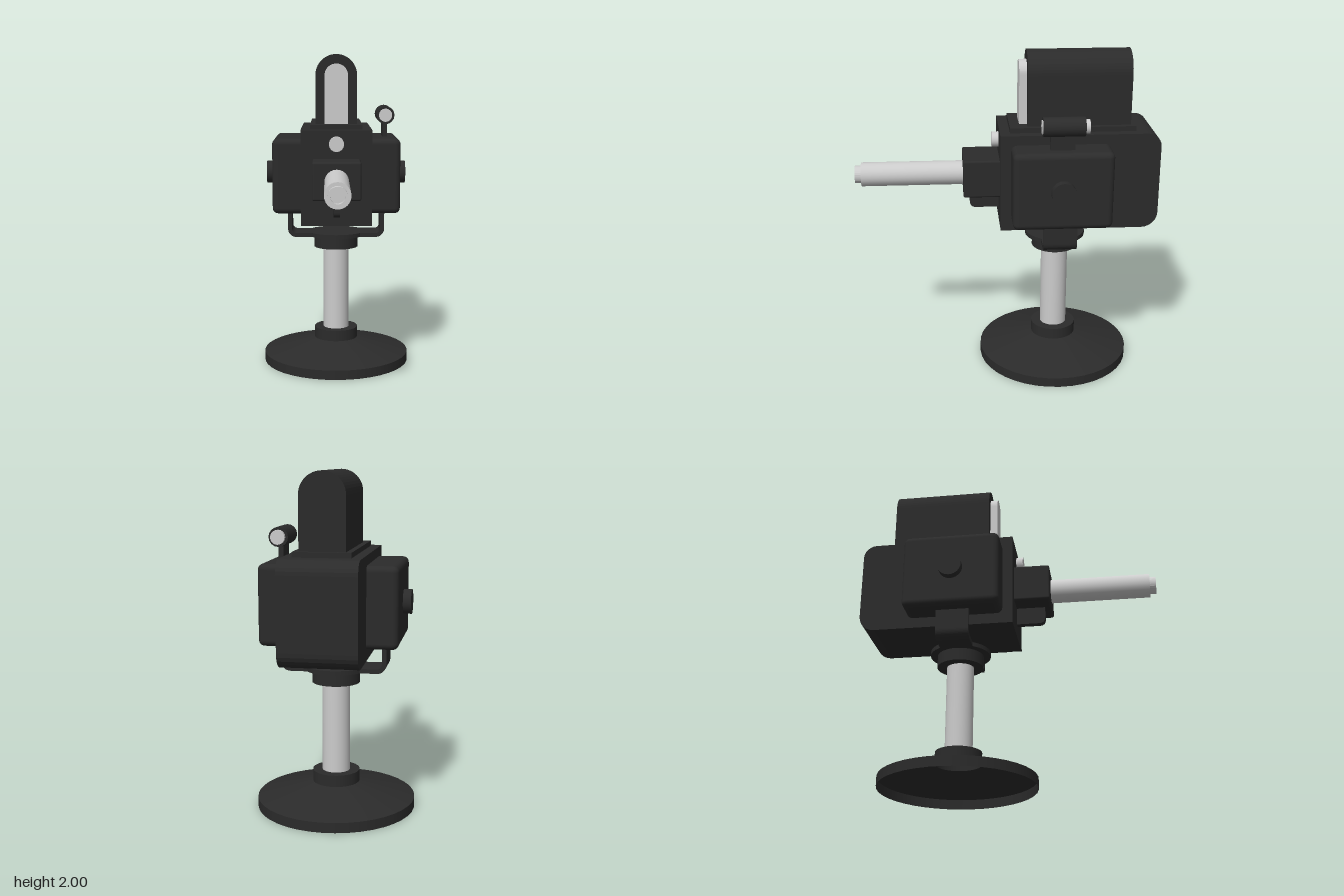
import * as THREE from 'three';
import { RoundedBoxGeometry } from 'three/addons/geometries/RoundedBoxGeometry.js';

const dark = new THREE.MeshStandardMaterial({ color: 0x2b2b2b });
dark.name = 'charcoal';
dark.side = THREE.DoubleSide;
const light = new THREE.MeshStandardMaterial({ color: 0xcccccc });
light.name = 'lightGrey';
light.side = THREE.DoubleSide;

const AXIS_Z = -0.312; // depth of the stand's centre line
const BARREL_Y = 1.25;

export function createModel() {
  const model = new THREE.Group();
  model.name = 'pedestalDevice';

  const add = (name, geometry, material, x = 0, y = 0, z = 0) => {
    const mesh = new THREE.Mesh(geometry, material);
    mesh.name = name;
    mesh.position.set(x, y, z);
    model.add(mesh);
    return mesh;
  };
  // box given by its limits on each axis
  const box = (name, material, [x0, x1], [y0, y1], [z0, z1], radius = 0) => {
    const size = [x1 - x0, y1 - y0, z1 - z0];
    const geometry = radius
      ? new RoundedBoxGeometry(...size, 3, radius)
      : new THREE.BoxGeometry(...size);
    return add(name, geometry, material, (x0 + x1) / 2, (y0 + y1) / 2, (z0 + z1) / 2);
  };
  // cylinders standing upright, and lying along z
  const post = (name, material, r, y0, y1) =>
    add(name, new THREE.CylinderGeometry(r, r, y1 - y0, 32), material, 0, (y0 + y1) / 2, AXIS_Z);
  const rod = (name, material, r, z0, z1, x, y, sides = 24) =>
    add(name, new THREE.CylinderGeometry(r, r, z1 - z0, sides).rotateX(Math.PI / 2),
      material, x, y, (z0 + z1) / 2);
  // outline in x/y extruded from z0 to z1
  const extrude = (shape, z0, z1, curveSegments = 12) =>
    new THREE.ExtrudeGeometry(shape, { depth: z1 - z0, bevelEnabled: false, curveSegments })
      .translate(0, 0, z0);
  // profile in z/y extruded across x
  const extrudeAcross = (shape, width, curveSegments) =>
    extrude(shape, -width / 2, width / 2, curveSegments).rotateY(-Math.PI / 2);
  // flat-bottomed outline with a round top
  const arch = (r, y0, y1) => {
    const s = new THREE.Shape();
    s.moveTo(-r, y0);
    s.lineTo(r, y0);
    s.lineTo(r, y1 - r);
    s.absarc(0, y1 - r, r, 0, Math.PI, false);
    s.lineTo(-r, y0);
    return s;
  };

  // hollow foot, drawn ring by ring so its edges stay crisp
  const footProfile = [[0.472, 0], [0.472, 0.06], [0.14, 0.15], [0.14, 0.22], [0.07, 0.22]];
  for (let i = 0; i < footProfile.length - 1; i++) {
    const points = [footProfile[i], footProfile[i + 1]].map(p => new THREE.Vector2(...p));
    add('foot' + (i + 1), new THREE.LatheGeometry(points, 40), dark, 0, 0, AXIS_Z);
  }

  // column and swivel
  post('column', light, 0.083, 0.205, 0.78);
  post('upperCollar', dark, 0.142, 0.76, 0.845);
  post('swivelDisc', dark, 0.185, 0.836, 0.862);

  // U-shaped yoke under the side housings
  const X = 0.31, T = 0.026, Y = 0.836, R = 0.055, TOP = 1.05;
  const yoke = new THREE.Shape();
  yoke.moveTo(-X, TOP);
  yoke.lineTo(-X, Y + R);
  yoke.absarc(-X + R, Y + R, R, Math.PI, Math.PI * 1.5, false);
  yoke.lineTo(X - R, Y);
  yoke.absarc(X - R, Y + R, R, -Math.PI / 2, 0, false);
  yoke.lineTo(X, TOP);
  yoke.lineTo(X - T, TOP);
  yoke.lineTo(X - T, Y + R);
  yoke.absarc(X - R, Y + R, R - T, 0, -Math.PI / 2, true);
  yoke.lineTo(-X + R, Y + T);
  yoke.absarc(-X + R, Y + R, R - T, -Math.PI / 2, -Math.PI, true);
  yoke.lineTo(-X + T, TOP);
  add('yoke', extrude(yoke, AXIS_Z - 0.1, AXIS_Z + 0.1, 6), dark);

  // main body with rounded back edges
  const body = new THREE.Shape();
  const back = -0.908, rt = 0.08, rb = 0.095;
  body.moveTo(0.04, 0.95);
  body.lineTo(0.04, 1.54);
  body.lineTo(back + rt, 1.54);
  body.absarc(back + rt, 1.54 - rt, rt, Math.PI / 2, Math.PI, false);
  body.lineTo(back, 0.95 + rb);
  body.absarc(back + rb, 0.95 + rb, rb, Math.PI, Math.PI * 1.5, false);
  body.lineTo(0.04, 0.95);
  add('body', extrudeAcross(body, 0.44, 3), dark);

  // side housings with pivot knobs
  for (const [side, s] of [['left', 1], ['right', -1]]) {
    const xs = s > 0 ? [0.15, 0.398] : [-0.398, -0.15];
    box(side + 'Housing', dark, xs, [1.015, 1.483], [-0.608, -0.022], 0.035);
    add(side + 'Knob', new THREE.CylinderGeometry(0.072, 0.072, 0.07, 24).rotateZ(Math.PI / 2),
      dark, s * 0.41, BARREL_Y, AXIS_Z);
  }

  // top hood with its light front window
  box('hoodPlate', dark, [-0.162, 0.162], [1.53, 1.57], [-0.765, -0.02]);
  add('hood', extrude(arch(0.13, 1.56, 2), -0.738, -0.125), dark);
  add('hoodWindow', extrude(arch(0.073, 1.57, 1.942), -0.13, -0.079), light);

  // front lamp
  rod('frontLamp', light, 0.046, 0.03, 0.082, 0, 1.457);

  // barrel mount and trigger
  box('barrelMount', dark, [-0.146, 0.146], [1.135, 1.366], [0.02, 0.258], 0.012);
  const trigger = new THREE.Shape();
  trigger.moveTo(0.03, 1.15);
  trigger.lineTo(0.03, 1.027);
  trigger.lineTo(0.18, 1.027);
  trigger.quadraticCurveTo(0.218, 1.027, 0.218, 1.07);
  trigger.lineTo(0.218, 1.15);
  add('trigger', extrudeAcross(trigger, 0.04, 6), dark);

  // barrel with a bored muzzle
  rod('barrel', light, 0.073, 0.25, 0.87, 0, BARREL_Y);
  const muzzle = new THREE.Shape();
  muzzle.absarc(0, 0, 0.053, 0, Math.PI * 2, false);
  const bore = new THREE.Path();
  bore.absarc(0, 0, 0.04, 0, Math.PI * 2, true);
  muzzle.holes.push(bore);
  add('muzzle', extrude(muzzle, 0.868, 0.908), light, 0, BARREL_Y, 0);

  // sight on the left housing
  box('sightBracket', dark, [0.295, 0.325], [1.47, 1.59], [-0.382, -0.24]);
  rod('sightTube', dark, 0.057, -0.438, -0.195, 0.312, 1.62, 16);
  rod('sightFrontLens', light, 0.042, -0.2, -0.19, 0.312, 1.62, 16);
  rod('sightEyepiece', light, 0.042, -0.464, -0.43, 0.312, 1.62, 16);

  return model;
}
